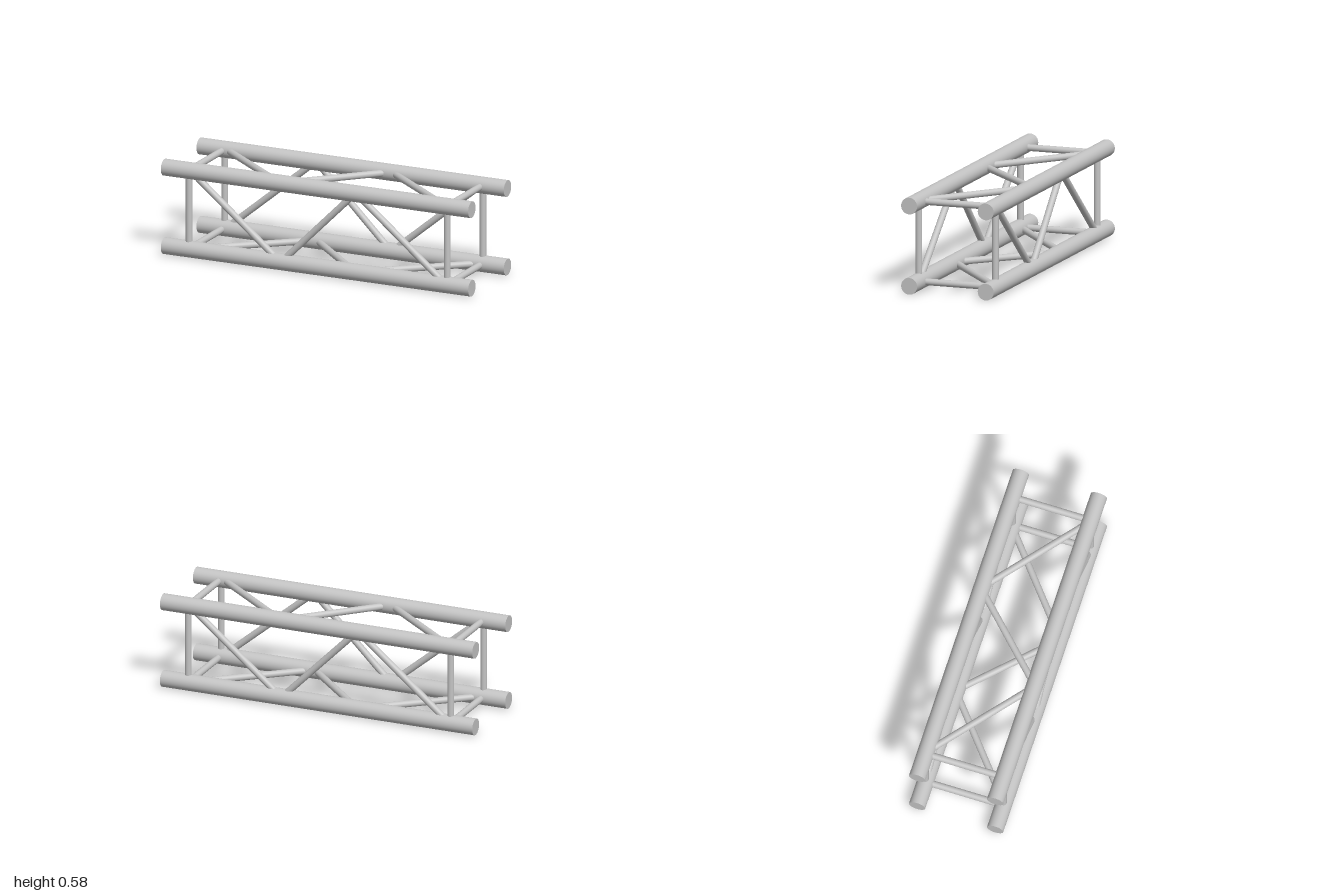
import * as THREE from 'three';

const HALF = 0.24;      // chord axis offset from the truss centre
const MID_Y = 0.29;     // height of the truss centre
const CHORD_R = 0.05;
const STRUT_R = 0.02;

export function createModel() {
  const group = new THREE.Group();
  group.name = 'boxTruss';
  const aluminium = new THREE.MeshStandardMaterial({ color: 0xc4c4c4 });
  aluminium.name = 'aluminium';

  // Round tube between two points
  function tube(name, a, b, radius, sides, parent) {
    const dir = b.clone().sub(a);
    const mesh = new THREE.Mesh(
      new THREE.CylinderGeometry(radius, radius, dir.length(), sides), aluminium);
    mesh.name = name;
    mesh.position.copy(a).add(b).multiplyScalar(0.5);
    mesh.quaternion.setFromUnitVectors(new THREE.Vector3(0, 1, 0), dir.normalize());
    parent.add(mesh);
  }

  // Four main chords along x
  for (const y of [-HALF, HALF]) {
    for (const z of [-HALF, HALF]) {
      tube('chord', new THREE.Vector3(-1, MID_Y + y, z),
        new THREE.Vector3(1, MID_Y + y, z), CHORD_R, 48, group);
    }
  }

  // Zigzag bracing of one side: start x, end x, direction (1 = falling)
  const diagonals = [[-0.83, -0.25, 1], [-0.24, 0.24, -1], [0.25, 0.83, 1]];

  // Four lattice sides, each a quarter turn about the long axis
  ['front', 'bottom', 'back', 'top'].forEach((side, i) => {
    const panel = new THREE.Group();
    panel.name = side + 'Lattice';
    panel.position.y = MID_Y;
    panel.rotation.x = i * Math.PI / 2;
    for (const x of [-0.84, 0.84]) {
      tube('endStrut', new THREE.Vector3(x, -HALF, HALF),
        new THREE.Vector3(x, HALF, HALF), STRUT_R, 24, panel);
    }
    for (const [x0, x1, fall] of diagonals) {
      tube('diagonalBrace', new THREE.Vector3(x0, HALF * fall, HALF),
        new THREE.Vector3(x1, -HALF * fall, HALF), STRUT_R, 24, panel);
    }
    group.add(panel);
  });

  return group;
}
